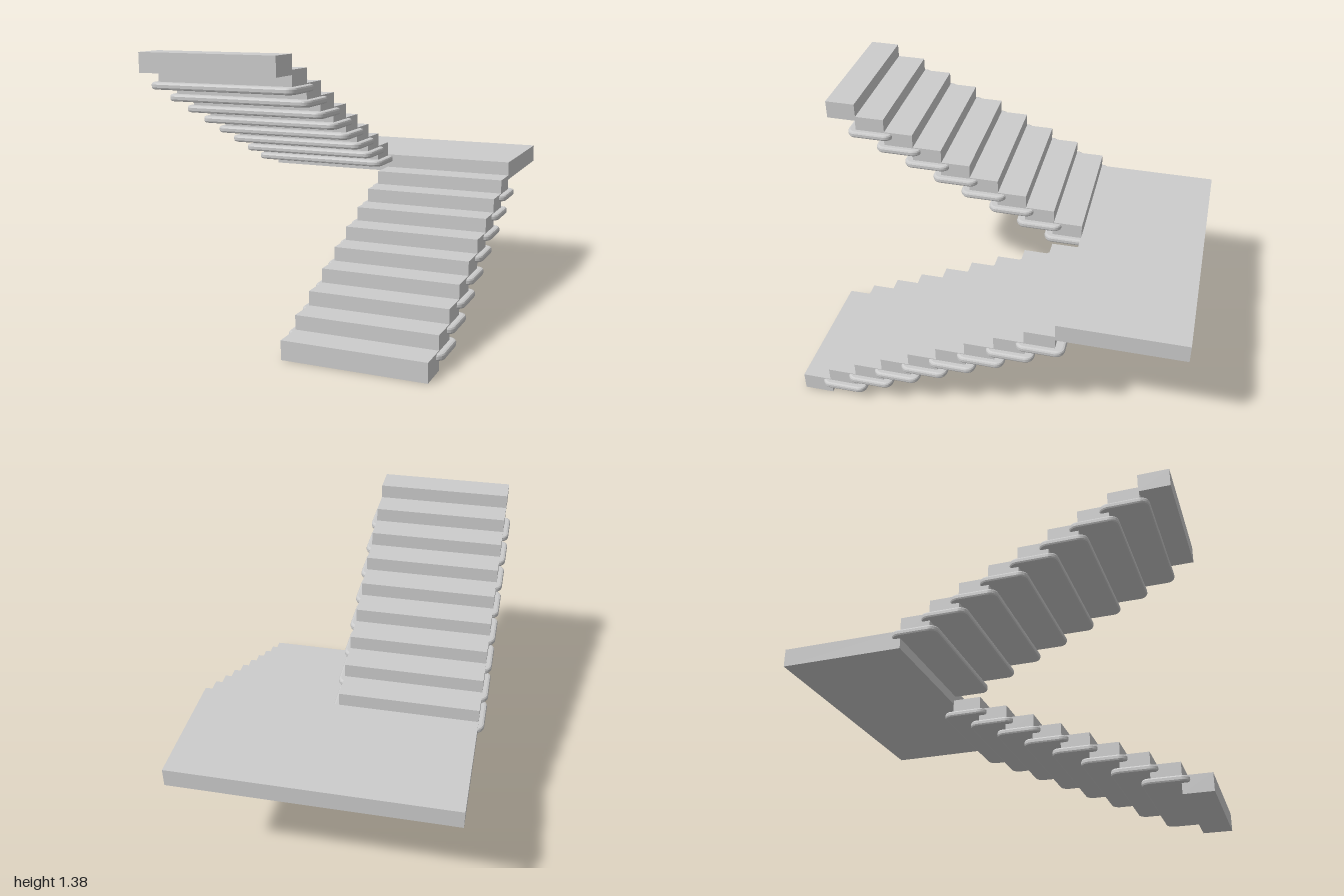
import * as THREE from 'three';

const material = new THREE.MeshStandardMaterial({ color: 0xcccccc, flatShading: true });
const WIDTH = 0.705, RISE = 0.0715, RUN = 0.151;
const STEP_H = 0.095, STEP_D = 0.155, STEPS = 9;

// Box given by its minimum and maximum corners
function block(name, [x0, y0, z0], [x1, y1, z1]) {
  const mesh = new THREE.Mesh(new THREE.BoxGeometry(x1 - x0, y1 - y0, z1 - z0), material);
  mesh.position.set((x0 + x1) / 2, (y0 + y1) / 2, (z0 + z1) / 2);
  mesh.name = name;
  return mesh;
}

// Thin horizontal plate with rounded corners and a bevelled rim, centred on its origin
function plateGeometry(w, d, h, radius, bevel) {
  const x = w / 2 - bevel, y = d / 2 - bevel, r = radius - bevel;
  const shape = new THREE.Shape();
  shape.absarc(x - r, y - r, r, 0, Math.PI / 2);
  shape.absarc(-x + r, y - r, r, Math.PI / 2, Math.PI);
  shape.absarc(-x + r, -y + r, r, Math.PI, Math.PI * 1.5);
  shape.absarc(x - r, -y + r, r, Math.PI * 1.5, Math.PI * 2);
  const geometry = new THREE.ExtrudeGeometry(shape, {
    depth: h - 0.02, bevelThickness: 0.01, bevelSize: bevel, bevelSegments: 2, curveSegments: 5,
  });
  return geometry.rotateX(-Math.PI / 2).translate(0, -(h - 0.02) / 2, 0);
}

// Straight run of steps with a support plate under each joint;
// dir is -1 when climbing to the back, +1 when climbing to the front
function flight(name, x0, baseY, startZ, dir, plateGeo, plateY, plateZ) {
  const group = new THREE.Group();
  group.name = name;
  for (let i = 0; i < STEPS; i++) {
    const near = startZ + dir * RUN * i, far = near + dir * STEP_D;
    const y = baseY + RISE * i;
    group.add(block('step', [x0, y, Math.min(near, far)], [x0 + WIDTH, y + STEP_H, Math.max(near, far)]));
    if (i === STEPS - 1) continue;
    const plate = new THREE.Mesh(plateGeo, material);
    plate.name = 'supportPlate';
    plate.position.set(x0 + WIDTH / 2, plateY + RISE * i, plateZ + dir * RUN * i);
    group.add(plate);
  }
  return group;
}

export function createModel() {
  const model = new THREE.Group();
  model.name = 'staircase';
  const plateGeo = plateGeometry(0.765, 0.244, 0.034, 0.045, 0.012);

  // Lower flight climbs to the back, upper flight returns to the front
  model.add(flight('lowerFlight', 0, 0, 1, -1, plateGeo, 0.074, 0.768));
  model.add(flight('upperFlight', -WIDTH, 0.714, -0.363, 1, plateGeo, 0.715, -0.285));

  // Landing joining the two flights
  model.add(block('landing', [-WIDTH, 0.644, -1], [WIDTH, 0.739, -0.361]));
  return model;
}
